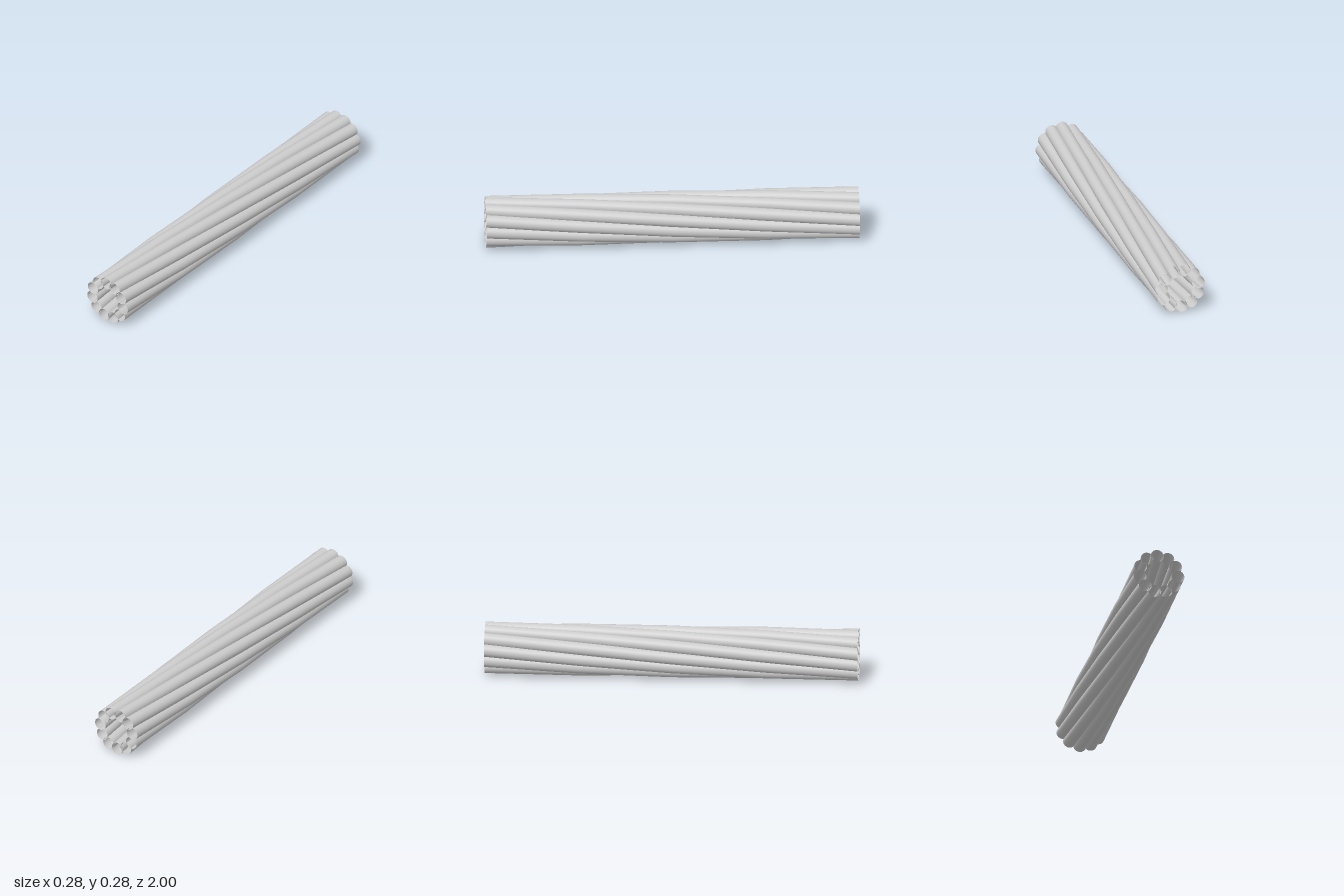
import * as THREE from 'three';

const STRANDS = 11;
const RING = 0.105;      // radius on which the strand centres lie
const TUBE = 0.035;      // radius of one strand
const LENGTH = 2;
const TWIST = Math.PI / 2;
const START = 1.65;      // angle of the first strand at the front

// A hollow strand: an open cylinder along z, its rings shifted along a helix
function strandGeometry(angle) {
  const geo = new THREE.CylinderGeometry(TUBE, TUBE, LENGTH, 32, 4, true);
  geo.rotateX(Math.PI / 2);
  const pos = geo.attributes.position;
  for (let i = 0; i < pos.count; i++) {
    const z = pos.getZ(i);
    const a = angle - TWIST * (0.5 - z / LENGTH);
    pos.setX(i, pos.getX(i) + RING * Math.cos(a));
    pos.setY(i, pos.getY(i) + RING * Math.sin(a));
  }
  geo.computeVertexNormals();
  return geo;
}

export function createModel() {
  const group = new THREE.Group();
  group.name = 'twistedTubeBundle';
  const material = new THREE.MeshStandardMaterial({ color: 0xcccccc, side: THREE.DoubleSide });

  // Strands side by side in a ring, around an empty core
  for (let i = 0; i < STRANDS; i++) {
    const strand = new THREE.Mesh(strandGeometry(START + (i / STRANDS) * Math.PI * 2), material);
    strand.name = `strand${i + 1}`;
    strand.position.y = RING + TUBE;
    group.add(strand);
  }
  return group;
}
